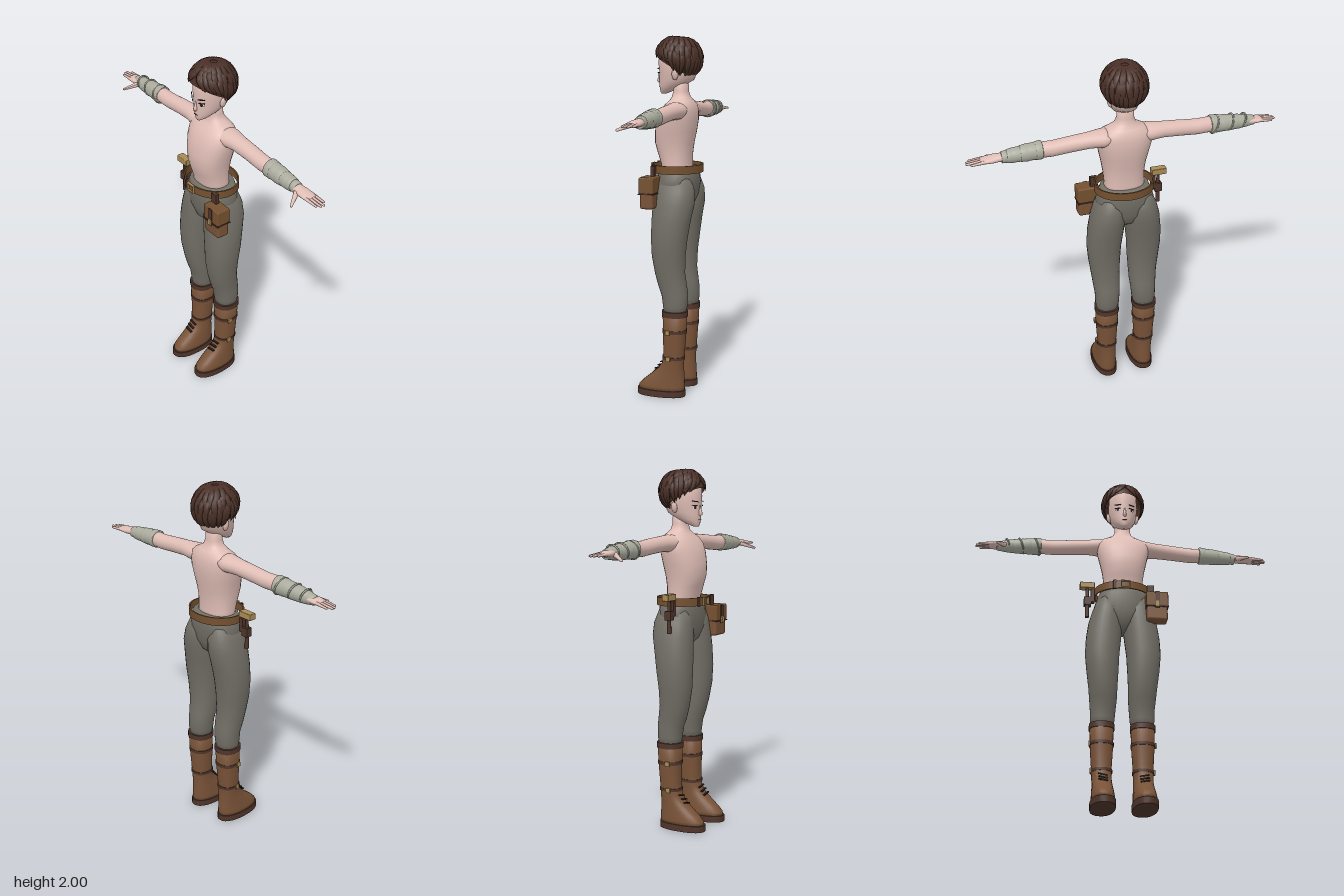
import * as THREE from 'three';
import { toCreasedNormals } from 'three/addons/utils/BufferGeometryUtils.js';
import { RoundedBoxGeometry } from 'three/addons/geometries/RoundedBoxGeometry.js';

const mat = (name, color, extra = {}) => Object.assign(new THREE.MeshStandardMaterial({ color, ...extra }), { name });
const V = (x, y, z) => new THREE.Vector3(x, y, z);

// Skin a list of point rings; rings run counterclockwise seen from the far end
function skin(rings, caps = true) {
  const n = rings[0].length, pts = rings.flat(), idx = [];
  for (let i = 0; i < rings.length - 1; i++) for (let j = 0; j < n; j++) {
    const a = i * n + j, b = i * n + (j + 1) % n;
    idx.push(a, b, b + n, a, b + n, a + n);
  }
  if (caps) [0, rings.length - 1].forEach((r, end) => {
    const c = rings[r].reduce((s, p) => s.add(p), V(0, 0, 0)).divideScalar(n);
    const k = pts.push(c) - 1;
    for (let j = 0; j < n; j++) {
      const a = r * n + j, b = r * n + (j + 1) % n;
      idx.push(k, end ? a : b, end ? b : a);
    }
  });
  const g = new THREE.BufferGeometry().setFromPoints(pts);
  g.setIndex(idx);
  g.computeVertexNormals();
  return g;
}

// Rounded sections given as [y, x0, x1, zBack, zFront]
function loft(rows, { power = 2, caps = true, n = 28 } = {}) {
  const pw = v => Math.sign(v) * Math.abs(v) ** (2 / power);
  return skin(rows.map(([y, x0, x1, z0, z1]) => Array.from({ length: n }, (_, j) => {
    const a = j / n * Math.PI * 2;
    return V((x0 + x1) / 2 + (x1 - x0) / 2 * pw(Math.sin(a)), y, (z0 + z1) / 2 + (z1 - z0) / 2 * pw(Math.cos(a)));
  })), caps);
}
// Symmetric sections [y, halfWidth, zBack, zFront]
const body = (rows, o) => loft(rows.map(([y, w, b, f]) => [y, -w, w, b, f]), o);
// Sections along x: [x, yLow, yHigh, zBack, zFront]
const alongX = (rows, o) => loft(rows.map(([x, lo, hi, b, f]) => [x, -hi, -lo, b, f]), o).rotateZ(-Math.PI / 2);

function mirror(g) {
  const m = g.index ? g.toNonIndexed() : g.clone();
  m.scale(-1, 1, 1);
  for (const key of ['position', 'normal']) {
    const p = m.attributes[key], a = V(), b = V();
    for (let i = 0; i < p.count; i += 3) {
      a.fromBufferAttribute(p, i + 1); b.fromBufferAttribute(p, i + 2);
      p.setXYZ(i + 1, b.x, b.y, b.z); p.setXYZ(i + 2, a.x, a.y, a.z);
    }
  }
  return m;
}

// Tapered rod between two points
function rod(a, b, r0, r1) {
  const d = b.clone().sub(a), g = new THREE.CapsuleGeometry(1, 1, 4, 10);
  const p = g.attributes.position;
  for (let i = 0; i < p.count; i++) {
    const y = p.getY(i), t = y > 0 ? 1 : 0, r = t ? r1 : r0;
    p.setXYZ(i, p.getX(i) * r, t * d.length() + (y - (t ? 0.5 : -0.5)) * r, p.getZ(i) * r);
  }
  g.computeVertexNormals();
  g.applyQuaternion(new THREE.Quaternion().setFromUnitVectors(V(0, 1, 0), d.normalize()));
  return g.translate(a.x, a.y, a.z);
}

export function createModel() {
  const root = new THREE.Group();
  root.name = 'adventurer';
  const M = {
    skin: mat('skin', 0xdfbdb5), pants: mat('greyCloth', 0x716e65), boot: mat('bootLeather', 0x785237),
    dark: mat('darkLeather', 0x4f352b), hair: mat('hair', 0x4a3027, { side: THREE.DoubleSide }),
    wrap: mat('bandage', 0xabac9e), belt: mat('beltLeather', 0x74502f), brass: mat('brassAndWood', 0xa98b56),
    ink: mat('eyeDark', 0x2a1c1a), white: mat('eyeWhite', 0xe6dedb),
  };
  const add = (name, g, m, parent = root) => {
    const o = new THREE.Mesh(g, m); o.name = name; parent.add(o); return o;
  };
  const pair = (name, g, m) => { add('left' + name, g, m); add('right' + name, mirror(g), m); };
  const box = (w, h, d, x, y, z, rz = 0) => new THREE.BoxGeometry(w, h, d).rotateZ(rz).translate(x, y, z);

  // Torso, neck and head
  add('torso', body([[1.24, .112, -.11, .05], [1.3, .11, -.108, .055], [1.36, .113, -.11, .075], [1.42, .122, -.118, .092],
    [1.48, .135, -.13, .09], [1.54, .148, -.138, .078], [1.59, .152, -.138, .058], [1.625, .138, -.13, .033],
    [1.648, .095, -.115, .01], [1.668, .058, -.1, 0], [1.7, .046, -.09, -.008], [1.77, .045, -.088, -.01]], { power: 2.3 }), M.skin);
  add('head', body([[1.685, .012, .035, .064], [1.697, .03, .005, .07], [1.725, .055, -.06, .074], [1.76, .07, -.12, .075],
    [1.8, .08, -.14, .074], [1.85, .085, -.15, .079], [1.92, .08, -.14, .074], [1.965, .045, -.09, .03]], { n: 36 }), M.skin);
  add('nose', body([[1.742, .005, .06, .077], [1.752, .011, .06, .091], [1.765, .009, .06, .087], [1.8, .005, .06, .076]], { n: 12 }), M.skin);
  pair('Ear', new THREE.SphereGeometry(1, 12, 10).scale(.012, .03, .018).rotateZ(-.2).translate(.083, 1.79, -.04), M.skin);
  add('mouth', box(.026, .003, .004, 0, 1.722, .0735), M.ink);

  // Eyes and brows as thin plates turned along the face
  const plate = (g, x, y, z) => g.rotateY(.55).translate(x, y, z);
  const oval = (rx, ry) => new THREE.CircleGeometry(1, 16).scale(rx, ry, 1);
  pair('EyeWhite', plate(oval(.017, .009), .04, 1.79, .065), M.white);
  pair('Iris', plate(oval(.008, .0095), .0395, 1.79, .0672), M.ink);
  pair('Lash', plate(box(.036, .004, .004, 0, 0, 0, .08), .041, 1.8, .0665), M.ink);
  pair('Brow', plate(box(.038, .005, .004, 0, 0, 0, .12), .041, 1.822, .069), M.hair);

  // Hair: a cap with layers of tapering locks swept over it
  const phiEnd = a => (114 - 34 * Math.cos(a)) * Math.PI / 180;
  const scalp = (a, phi, s = 1) => V(.113 * s * Math.sin(phi) * Math.sin(a), 1.875 + .116 * s * Math.cos(phi),
    -.035 + .122 * s * Math.sin(phi) * Math.cos(a));
  const capRings = [];
  for (let i = 14; i >= 0; i--) capRings.push(Array.from({ length: 40 }, (_, j) => {
    const a = j / 40 * Math.PI * 2;
    return scalp(a, phiEnd(a) * (i + .02) / 14.02);
  }));
  add('hairCap', skin(capRings, false), M.hair);
  let seed = 7;
  const rnd = () => (seed = seed * 16807 % 2147483647) / 2147483647;
  function lock(a0, p0, p1, swirl, w) {
    const at = t => scalp(a0 + swirl * t * t, p0 + (p1 - p0) * t, 1 + .05 * Math.sin(Math.PI * Math.min(t * 1.3, 1)) + .05 * t);
    const rings = [];
    for (let i = 0; i <= 7; i++) {
      const t = i / 7, c = at(t), T = at(t + .02).sub(at(t - .02)).normalize();
      const N = c.clone().sub(V(0, 1.875, -.035)).normalize(), B = N.clone().cross(T).normalize();
      const k = Math.max(.04, Math.sin(Math.PI * (.18 + .82 * t)) ** .8);
      rings.push(Array.from({ length: 6 }, (_, j) => {
        const q = j / 6 * Math.PI * 2;
        return c.clone().addScaledVector(B, Math.cos(q) * w * k).addScaledVector(N, Math.sin(q) * .009 * k);
      }));
    }
    return skin(rings);
  }
  const locks = new THREE.Group(); locks.name = 'hairLocks'; root.add(locks);
  [[18, .08, .66, .02], [24, .28, .88, .019], [30, .5, 1.04, .017]].forEach(([n, s, e, w], layer) => {
    for (let i = 0; i < n; i++) {
      const a = (i + .5 + rnd() * .5) / n * Math.PI * 2, p = phiEnd(a);
      const sweep = (a < Math.PI ? 1 : -1) * Math.max(0, Math.cos(a)) * .45 + (rnd() - .5) * .35;
      add('lock' + layer, lock(a, p * s, p * (e + rnd() * .08), sweep, w), M.hair, locks);
    }
  });

  // Arms and hands
  pair('Arm', alongX([[.06, 1.565, 1.642, -.115, .02], [.13, 1.548, 1.643, -.118, .01], [.2, 1.552, 1.637, -.105, -.005],
    [.3, 1.545, 1.63, -.1, -.01], [.4, 1.536, 1.62, -.097, -.01], [.48, 1.537, 1.622, -.093, -.01], [.6, 1.545, 1.605, -.085, -.016],
    [.67, 1.551, 1.592, -.08, -.022], [.71, 1.549, 1.589, -.085, -.014], [.75, 1.553, 1.582, -.087, -.013], [.775, 1.557, 1.577, -.084, -.018]]), M.skin);
  [[-.076, .832], [-.058, .855], [-.041, .852], [-.024, .838]].forEach(([z, tip], i) =>
    pair('Finger' + i, rod(V(.755, 1.568, z), V(tip - .007, 1.563, z * 1.05), .0095, .006), M.skin));
  pair('Thumb', rod(V(.685, 1.565, -.028), V(.728, 1.537, .042), .015, .007), M.skin);

  // Forearm bandages made of overlapping turns
  function wraps(name, turns, flip) {
    turns.forEach(([x0, x1, r0, r1], i) => {
      const y = x => 1.58 - (x - .46) * .05, ring = (x, r) => [x, y(x) - r, y(x) + r, -.052 - r, -.052 + r];
      let g = alongX([ring(x0, r0 - .006), ring(x0 + .003, r0), ring(x1 - .003, r1), ring(x1, r1 - .006)]);
      add(name + i, flip ? mirror(g) : g, M.wrap);
    });
  }
  wraps('leftBandage', [[.452, .49, .05, .049], [.48, .535, .047, .045], [.527, .57, .047, .043], [.565, .615, .041, .039], [.608, .64, .039, .036], [.635, .668, .033, .031]]);
  wraps('rightBandage', [[.475, .53, .05, .048], [.52, .585, .047, .044], [.575, .64, .045, .04], [.63, .695, .041, .033], [.688, .732, .032, .026]], true);
  [[.5, .05], [.59, .045], [.665, .038]].forEach(([x, r], i) =>
    add('bandageFold' + i, new THREE.TorusGeometry(r, .005, 6, 24).rotateY(Math.PI / 2).rotateZ(.35).translate(-x, 1.576, -.052), M.wrap));

  // Trousers
  add('hips', body([[1.035, .022, -.07, .02], [1.07, .075, -.115, .055], [1.13, .15, -.14, .072], [1.2, .162, -.15, .076],
    [1.25, .146, -.147, .073], [1.285, .132, -.138, .066]], { power: 2.3 }), M.pants);
  pair('TrouserLeg', loft([[.46, .055, .168, -.108, .008], [.52, .042, .177, -.12, .015], [.58, .037, .178, -.122, .024], [.63, .032, .183, -.115, .042],
    [.7, .03, .19, -.105, .06], [.8, .025, .203, -.108, .077], [.9, .02, .212, -.12, .081], [1, .009, .207, -.136, .08],
    [1.09, .002, .194, -.155, .077], [1.16, .004, .175, -.153, .07], [1.23, .015, .145, -.13, .055]], { power: 2.2 }), M.pants);

  // Boots with soles, cuffs, straps, buckles and laces
  pair('Boot', loft([[.03, .048, .174, -.106, .16], [.055, .049, .173, -.108, .158], [.085, .051, .17, -.106, .128], [.12, .054, .167, -.104, .085],
    [.155, .057, .165, -.102, .045], [.19, .059, .166, -.102, .02], [.25, .057, .168, -.106, .013], [.36, .05, .175, -.114, .014],
    [.47, .047, .178, -.12, .016]], { power: 2.3 }), M.boot);
  const slab = (y0, y1, ...e) => toCreasedNormals(loft([[y0, ...e], [y1, ...e]], { power: 2.3 }), .6);
  pair('Sole', slab(0, .036, .044, .179, -.111, .168), M.dark);
  pair('BootCuff', slab(.46, .491, .043, .182, -.124, .021), M.dark);
  pair('UpperStrap', slab(.367, .385, .046, .179, -.118, .018), M.dark);
  pair('LowerStrap', slab(.215, .231, .054, .171, -.108, .019), M.dark);
  [[.376, .18], [.223, .172]].forEach(([y, x], i) => pair('BootBuckle' + i, box(.008, .026, .024, x, y, -.03), M.brass));
  [.15, .17, .19].forEach((y, i) => pair('Lace' + i, box(.05, .006, .012, .111, y, .055 - i * .016, .2), M.ink));

  // Belt standing off the waist, with buckle
  const bi = [.158, -.162, .102], bo = [.166, -.17, .11];
  add('belt', toCreasedNormals(body([[1.255, ...bi], [1.255, ...bo], [1.3, ...bo], [1.3, ...bi], [1.255, ...bi]], { caps: false, n: 48 }), .6), M.belt);
  [[0, .025, .05], [0, -.025, .05]].forEach(([, y, w], i) => add('buckleBar' + i, box(w, .006, .012, 0, 1.278 + y * .8, .113), M.brass));
  [-.024, .024].forEach((x, i) => add('buckleSide' + i, box(.006, .046, .012, x, 1.278, .113), M.brass));
  add('beltLoop', box(.018, .052, .012, -.06, 1.278, .102), M.dark);

  // Hip pouch on the left
  const pouch = new THREE.Group(); pouch.name = 'pouch'; root.add(pouch);
  add('pouchBody', new RoundedBoxGeometry(.118, .165, .075, 3, .014).translate(.18, 1.152, .072), M.boot, pouch);
  add('pouchFlap', new RoundedBoxGeometry(.124, .09, .083, 2, .008).translate(.18, 1.198, .073), M.belt, pouch);
  add('flapEdge', box(.126, .006, .088, .18, 1.152, .073), M.dark, pouch);
  add('pouchStrap', box(.026, .1, .006, .18, 1.19, .117), M.dark, pouch);
  add('pouchClasp', box(.022, .034, .01, .18, 1.16, .122), M.brass, pouch);
  add('pouchHanger', box(.04, .075, .02, .148, 1.262, .06), M.dark, pouch);

  // Hammer hanging on the right
  const hammer = new THREE.Group(); hammer.name = 'hammer'; root.add(hammer);
  add('hammerHead', new RoundedBoxGeometry(.085, .036, .042, 2, .004).translate(-.207, 1.309, 0), M.brass, hammer);
  add('hammerHandle', new THREE.CylinderGeometry(.009, .012, .185, 12).translate(-.206, 1.205, 0), M.dark, hammer);
  add('hammerHolder', box(.04, .05, .036, -.204, 1.21, 0), M.dark, hammer);
  add('hammerHanger', box(.022, .08, .03, -.176, 1.245, 0), M.dark, hammer);
  return root;
}
